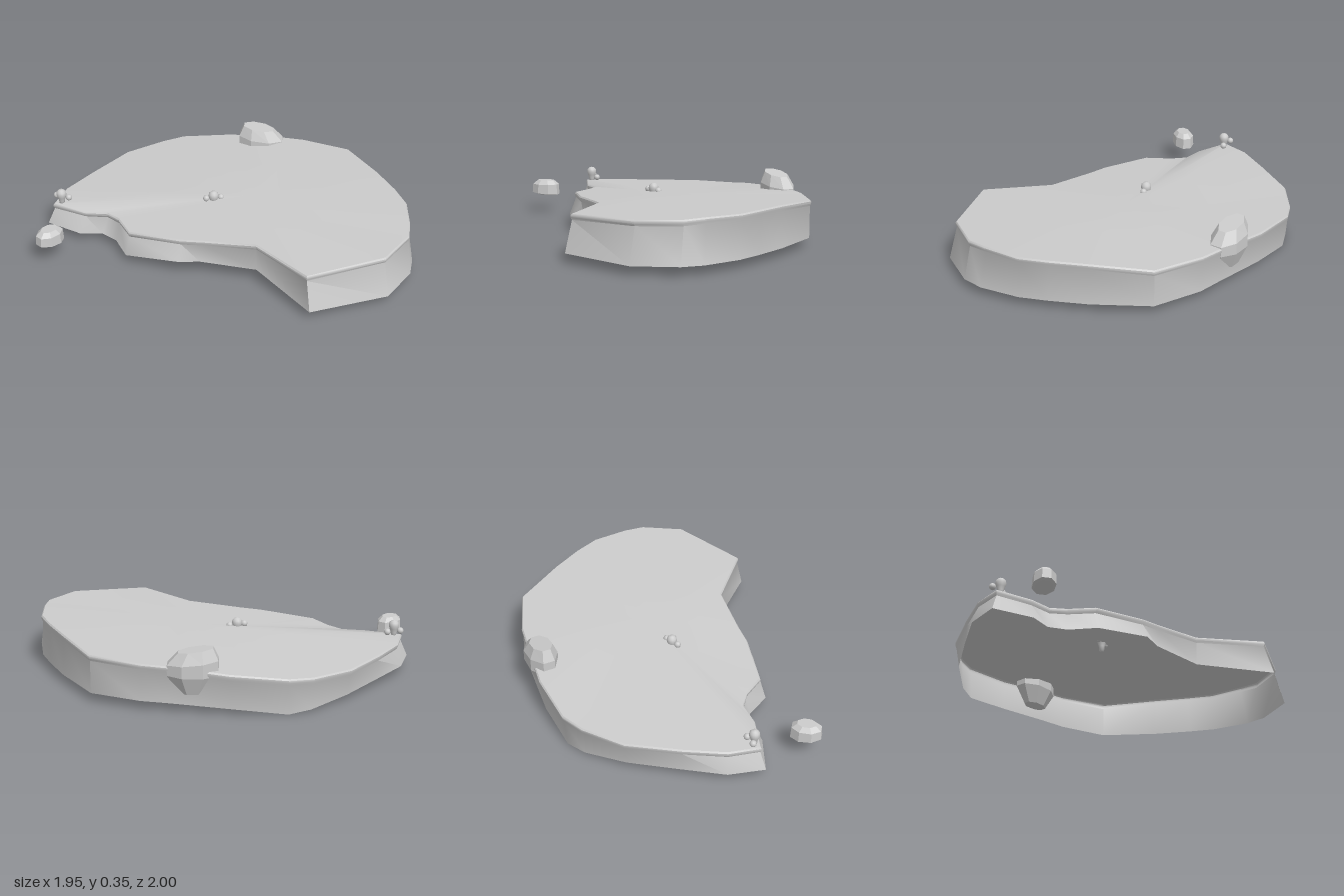
import * as THREE from 'three';
import { toCreasedNormals } from 'three/addons/utils/BufferGeometryUtils.js';

const grey = new THREE.MeshStandardMaterial({ color: 0xcccccc, side: THREE.DoubleSide });
const facetGrey = new THREE.MeshStandardMaterial({ color: 0xcccccc, flatShading: true });

// Skins closed rings of [x, y, z], listed from the top middle outwards and down.
function skin(rings) {
  const n = rings[0].length;
  const index = [];
  const same = (a, b) => a.every((v, k) => Math.abs(v - b[k]) < 1e-6);
  for (let i = 0; i < rings.length - 1; i++) {
    for (let j = 0; j < n; j++) {
      const k = (j + 1) % n;
      const a = i * n + j, b = i * n + k, c = a + n, d = b + n;
      if (!same(rings[i + 1][j], rings[i + 1][k])) index.push(a, c, d);
      if (!same(rings[i][j], rings[i][k])) index.push(a, d, b);
    }
  }
  const geo = new THREE.BufferGeometry();
  geo.setAttribute('position', new THREE.Float32BufferAttribute(rings.flat(2), 3));
  geo.setIndex(index);
  geo.computeVertexNormals();
  return geo;
}

// Outline of the ground: top x, z, y then foot x, z, y
const outline = [
  [0.30, 0.95, 0.28, 0.29, 1.00, 0.05],
  [0.54, 0.89, 0.285, 0.54, 0.93, 0.05],
  [0.63, 0.81, 0.29, 0.64, 0.85, 0.05],
  [0.77, 0.65, 0.29, 0.77, 0.66, 0.05],
  [0.83, 0.50, 0.29, 0.83, 0.51, 0.05],
  [0.89, 0.30, 0.285, 0.90, 0.30, 0.05],
  [0.97, -0.03, 0.265, 0.97, -0.03, 0.05],
  [0.85, -0.31, 0.255, 0.86, -0.30, 0.05],
  [0.76, -0.44, 0.25, 0.76, -0.43, 0.045],
  [0.58, -0.69, 0.225, 0.56, -0.69, 0.03],
  [0.36, -0.90, 0.20, 0.35, -0.89, 0.00],
  [0.23, -0.95, 0.19, 0.23, -0.94, 0.01],
  [-0.02, -0.99, 0.185, -0.02, -0.97, 0.035],
  [-0.32, -0.935, 0.18, -0.32, -0.94, 0.045],
  [-0.55, -0.88, 0.18, -0.56, -0.91, 0.05],
  [-0.70, -0.79, 0.18, -0.74, -0.81, 0.05],
  [-0.61, -0.60, 0.18, -0.66, -0.59, 0.05],
  [-0.52, -0.50, 0.185, -0.56, -0.51, 0.05],
  [-0.51, -0.40, 0.19, -0.54, -0.40, 0.05],
  [-0.545, -0.25, 0.19, -0.585, -0.24, 0.05],
  [-0.39, 0.03, 0.215, -0.43, 0.05, 0.09],
  [-0.31, 0.13, 0.225, -0.33, 0.12, 0.085],
  [-0.13, 0.38, 0.25, -0.13, 0.38, 0.08],
  [-0.12, 0.78, 0.255, -0.14, 0.83, 0.05],
];

// Sloping top, rounded lip and flared wall; the underside is open
function groundGeometry() {
  const [cx, cy, cz] = [0.2, 0.262, 0];
  const n = outline.length;
  const rim = outline.map(([x, z, y]) => [x, y, z]);
  const inset = (s) => rim.map(([x, y, z]) =>
    [cx + (x - cx) * s, cy + (y - cy) * s, cz + (z - cz) * s]);
  const offset = (out, drop) => rim.map(([x, y, z], i) => {
    const p = rim[(i + n - 1) % n], q = rim[(i + 1) % n];
    const dx = q[0] - p[0], dz = q[2] - p[2], len = Math.hypot(dx, dz);
    return [x - (dz / len) * out, y - drop, z + (dx / len) * out];
  });
  const foot = outline.map(([, , , x, z, y]) => [x, y, z]);
  return toCreasedNormals(skin([
    inset(0), inset(0.5), rim, offset(0.007, 0.008), offset(0.007, 0.02), offset(0, 0.033), foot,
  ]), 0.7);
}

// Faceted boulder from levels of [y, scale, shift along, tilt]
function boulder(name, rx, rz, sides, levels) {
  const rings = levels.map(([y, s, shift, tilt]) =>
    Array.from({ length: sides }, (_, j) => {
      const a = ((j + 0.5) / sides) * Math.PI * 2;
      const x = Math.cos(a) * rx * s;
      return [x + shift, y + tilt * x, -Math.sin(a) * rz * s];
    }));
  const mesh = new THREE.Mesh(skin(rings), facetGrey);
  mesh.name = name;
  return mesh;
}

// Standing bulb with two small buds at its foot
function plant(name, x, y, z, buds) {
  const g = new THREE.Group();
  g.name = name;
  const profile = [[0, -0.03], [0.014, -0.028], [0.017, 0], [0.024, 0.022], [0.03, 0.04],
    [0.027, 0.058], [0.016, 0.069], [0, 0.073]].map(([r, h]) => new THREE.Vector2(r, h));
  const bulb = new THREE.Mesh(new THREE.LatheGeometry(profile, 14), grey);
  bulb.name = 'bulb';
  g.add(bulb);
  for (const [bx, by, bz] of buds) {
    const bud = new THREE.Mesh(new THREE.SphereGeometry(0.019, 12, 8), grey);
    bud.name = 'bud';
    bud.position.set(bx, by, bz);
    g.add(bud);
  }
  g.position.set(x, y, z);
  return g;
}

export function createModel() {
  const model = new THREE.Group();
  model.name = 'island';

  const ground = new THREE.Mesh(groundGeometry(), grey);
  ground.name = 'ground';
  model.add(ground);

  // Large boulder sunk into the right-hand edge
  const large = boulder('largeBoulder', 0.145, 0.088, 8, [
    [0.335, 0, -0.015, -0.15], [0.335, 0.68, -0.015, -0.15], [0.27, 1, 0, -0.1],
    [0.20, 1, 0, 0], [0.10, 0.55, 0, 0], [0.10, 0, 0, 0],
  ]);
  large.position.set(0.66, 0, -0.495);
  large.rotation.y = -0.8;
  model.add(large);

  // Small boulder lying apart
  const small = boulder('smallBoulder', 0.09, 0.064, 8, [
    [0.202, 0, 0, 0], [0.202, 0.6, 0, 0], [0.177, 0.95, 0, 0],
    [0.118, 1, 0, -0.07], [0.112, 0.75, 0, -0.06], [0.112, 0, 0, -0.06],
  ]);
  small.position.set(-0.89, 0, -0.555);
  small.rotation.y = 0.1;
  model.add(small);

  model.add(plant('cornerPlant', -0.66, 0.197, -0.77, [[0.042, 0.008, 0.012], [-0.005, 0.018, -0.043]]));
  model.add(plant('middlePlant', -0.003, 0.217, -0.155, [[0.038, 0.03, 0.022], [-0.04, 0.033, -0.018]]));
  return model;
}
